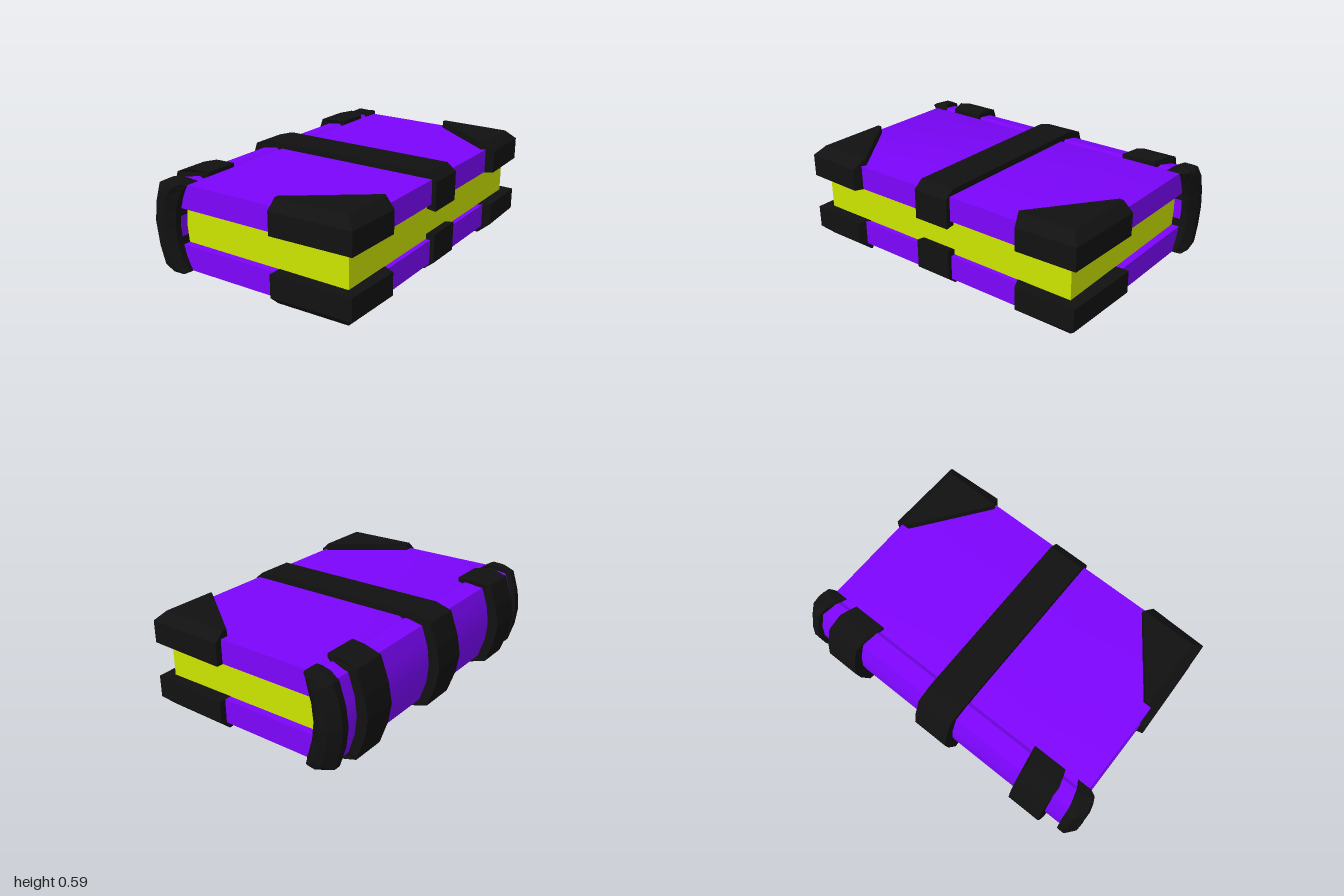
import * as THREE from 'three';
import { toCreasedNormals } from 'three/addons/utils/BufferGeometryUtils.js';
import { ConvexGeometry } from 'three/addons/geometries/ConvexGeometry.js';

const MID = 0.294; // height of the plane the book is symmetric about

const coverMat = new THREE.MeshStandardMaterial({ color: 0x7c04fc });
const pageMat = new THREE.MeshStandardMaterial({ color: 0xcde600 });
const trimMat = new THREE.MeshStandardMaterial({ color: 0x111111, flatShading: true });

// Closed C outline from its upper half; both lists run from the open tip to the spine (y = 0)
function cProfile(outer, inner) {
  const flip = ([x, y]) => [x, -y];
  const pts = [
    ...outer,
    ...outer.slice(0, -1).reverse().map(flip),
    ...inner.map(flip),
    ...inner.slice(0, -1).reverse(),
  ];
  return new THREE.Shape(pts.map(([x, y]) => new THREE.Vector2(x, y)));
}

function extrude(shape, z0, z1) {
  return new THREE.ExtrudeGeometry(shape, { depth: z1 - z0, bevelEnabled: false }).translate(0, 0, z0);
}

// Move every vertex by a rule
function bend(geo, rule) {
  const p = geo.attributes.position;
  const v = new THREE.Vector3();
  for (let i = 0; i < p.count; i++) {
    rule(v.fromBufferAttribute(p, i));
    p.setXYZ(i, v.x, v.y, v.z);
  }
  geo.computeVertexNormals();
  return geo;
}

// Skin a list of equal-length closed rings and close both ends
function loft(rings) {
  const n = rings[0].length;
  const idx = [];
  for (let r = 0; r < rings.length - 1; r++) {
    for (let i = 0; i < n; i++) {
      const a = r * n + i, b = r * n + (i + 1) % n;
      idx.push(a, a + n, b, b, a + n, b + n);
    }
  }
  const last = (rings.length - 1) * n;
  for (let i = 1; i < n - 1; i++) {
    idx.push(0, i, i + 1, last, last + i + 1, last + i);
  }
  const geo = new THREE.BufferGeometry();
  geo.setAttribute('position', new THREE.Float32BufferAttribute(rings.flat(2), 3));
  geo.setIndex(idx);
  const flat = geo.toNonIndexed();
  flat.computeVertexNormals();
  return flat;
}

export function createModel() {
  const model = new THREE.Group();
  model.name = 'book';
  const add = (name, geo, mat) => {
    const mesh = new THREE.Mesh(geo, mat);
    mesh.name = name;
    mesh.position.y = MID;
    model.add(mesh);
    return mesh;
  };

  // Cover: two thick boards joined by a rounded spine with a shallow hinge groove
  const coverShape = cProfile(
    [[0.628, 0.107], [0.628, 0.25], [-0.41, 0.25], [-0.435, 0.238], [-0.455, 0.25], [-0.56, 0.23], [-0.6, 0.11], [-0.613, 0]],
    [[-0.465, 0.107], [-0.475, 0]],
  );
  const cover = bend(extrude(coverShape, -0.922, 0.922), (v) => { v.z *= 1 - 0.01 * v.x; });
  add('cover', toCreasedNormals(cover, 0.7), coverMat);

  // Page block
  add('pages', new THREE.BoxGeometry(1.08, 0.214, 1.76).translate(0.06, 0, 0), pageMat);

  // Centre strap wrapping the spine and hooking over the fore edges
  const strapShape = cProfile(
    [[0.602, 0.075], [0.655, 0.068], [0.655, 0.24], [0.6, 0.285], [-0.51, 0.285], [-0.61, 0.255], [-0.66, 0.115], [-0.68, 0]],
    [[0.602, 0.24], [-0.5, 0.225], [-0.56, 0.2], [-0.58, 0.1], [-0.59, 0]],
  );
  add('centreStrap', extrude(strapShape, -0.114, 0.114), trimMat);

  // Spine bands, angled slightly towards the middle on the boards
  const bandShape = cProfile(
    [[-0.41, 0.24], [-0.41, 0.275], [-0.51, 0.285], [-0.61, 0.255], [-0.66, 0.115], [-0.68, 0]],
    [[-0.5, 0.225], [-0.56, 0.2], [-0.58, 0.1], [-0.59, 0]],
  );
  // Crescent caps at both ends of the spine
  const capHalf = [ // outer x, y, inner x, y, set back in z
    [-0.46, 0.272, -0.405, 0.25, 0.03],
    [-0.53, 0.27, -0.42, 0.225, 0.012],
    [-0.59, 0.24, -0.445, 0.17, 0],
    [-0.63, 0.115, -0.465, 0.1, 0],
    [-0.645, 0, -0.476, 0, 0],
  ];
  const capArc = [
    ...capHalf,
    ...capHalf.slice(0, -1).reverse().map(([a, b, c, d, e]) => [a, -b, c, -d, e]),
  ];
  const capSection = [[0, 0.905], [0, 0.95], [0.35, 0.998], [0.65, 1], [1, 0.965], [1, 0.875]]; // across, z
  const capGeo = loft(capArc.map(([ox, oy, ix, iy, back]) =>
    capSection.map(([t, z]) => [ox + (ix - ox) * t, oy + (iy - oy) * t, z - back])));

  for (const [end, turn] of [['Front', 0], ['Back', Math.PI]]) {
    const band = bend(extrude(bandShape, 0.585, 0.795), (v) => { if (v.x > -0.48) v.z -= 0.033; });
    add('spineBand' + end, band, trimMat).rotation.x = turn;
    add('spineCap' + end, capGeo, trimMat).rotation.x = turn;
  }

  // Bevelled triangular guards on the four fore-edge corners
  const footprint = [[0.17, 0.96], [0.662, 0.943], [0.674, 0.585], [0.602, 0.55], [0.17, 0.87]];
  const crown = [[0.17, 0.9], [0.607, 0.89], [0.607, 0.56], [0.6, 0.553], [0.17, 0.875]];
  for (const sy of [1, -1]) {
    for (const sz of [1, -1]) {
      const pts = [];
      const ring = (list, y) => list.forEach(([x, z]) => pts.push(new THREE.Vector3(x, y * sy, z * sz)));
      ring(footprint, 0.105);
      ring(footprint, 0.238);
      ring(crown, 0.293);
      add((sy > 0 ? 'upper' : 'lower') + 'CornerGuard' + (sz > 0 ? 'Front' : 'Back'), new ConvexGeometry(pts), trimMat);
    }
  }
  return model;
}
